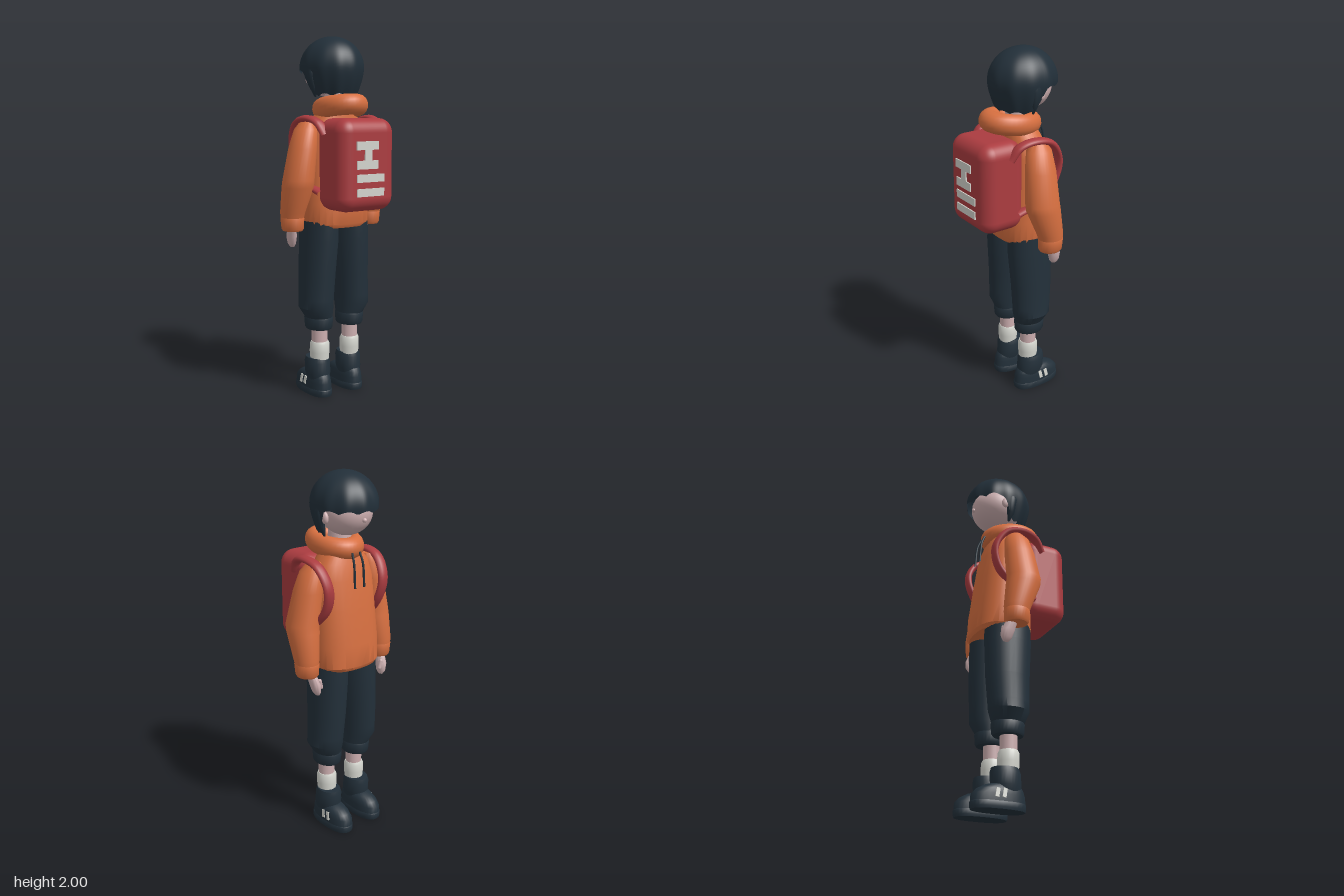
import * as THREE from 'three';
import { toCreasedNormals } from 'three/addons/utils/BufferGeometryUtils.js';
import { RoundedBoxGeometry } from 'three/addons/geometries/RoundedBoxGeometry.js';

function paint(name, color, side = THREE.FrontSide) {
  const m = new THREE.MeshStandardMaterial({ color, side });
  m.name = name;
  return m;
}

// Closed solid through horizontal superellipse rings [y, x, z, rx, rz], bottom to top
function loft(rings, side = 1, power = 2, crease = 0.6) {
  const N = 28, pos = [], idx = [];
  const bend = (v) => Math.sign(v) * Math.pow(Math.abs(v), 2 / power);
  for (const [y, x, z, rx, rz] of rings) {
    for (let i = 0; i < N; i++) {
      const a = (i / N) * Math.PI * 2;
      pos.push(side * x + rx * bend(Math.cos(a)), y, z + rz * bend(Math.sin(a)));
    }
  }
  for (let r = 0; r < rings.length - 1; r++) {
    for (let i = 0; i < N; i++) {
      const a = r * N + i, b = r * N + (i + 1) % N;
      idx.push(a, a + N, b, b, a + N, b + N);
    }
  }
  // End caps
  const last = rings.length - 1, base = pos.length / 3;
  for (const r of [0, last]) pos.push(side * rings[r][1], rings[r][0], rings[r][2]);
  for (let i = 0; i < N; i++) {
    const j = (i + 1) % N;
    idx.push(base, i, j, base + 1, last * N + j, last * N + i);
  }
  const g = new THREE.BufferGeometry();
  g.setAttribute('position', new THREE.Float32BufferAttribute(pos, 3));
  g.setIndex(idx);
  return toCreasedNormals(g, crease);
}

// Bob haircut: a dome whose lower edge is a scalloped fringe in front and longer at the nape
function hairGeometry() {
  const N = 96, M = 24, pos = [], idx = [];
  const smooth = THREE.MathUtils.smoothstep;
  for (let k = 0; k <= M; k++) {
    const t = k / M;
    for (let i = 0; i < N; i++) {
      const a = (i / N) * Math.PI * 2; // 0 = nape, PI = forehead
      const front = (1 - Math.cos(a)) / 2;
      const scallop = 0.016 * Math.abs(Math.sin(a * 5.5 + 0.4));
      const edge = 1.675 + 0.125 * smooth(front, 0.42, 0.62) + scallop;
      const y = 2 - (2 - edge) * (1 - Math.cos(t * Math.PI / 2));
      const low = Math.max(0, 1.83 - y) / 0.16;
      let r = y > 1.83 ? Math.sqrt(Math.max(0, 1 - ((y - 1.83) / 0.17) ** 2)) : 1 - 0.26 * low ** 1.6;
      r *= 1 + 0.022 * Math.sin(a * 11) * t * t;
      pos.push(0.17 * r * Math.sin(a), y, -0.085 + 0.187 * r * Math.cos(a));
    }
  }
  for (let k = 0; k < M; k++) {
    for (let i = 0; i < N; i++) {
      const a = k * N + i, b = k * N + (i + 1) % N;
      idx.push(a, a + N, b, b, a + N, b + N);
    }
  }
  const g = new THREE.BufferGeometry();
  g.setAttribute('position', new THREE.Float32BufferAttribute(pos, 3));
  g.setIndex(idx);
  g.computeVertexNormals();
  return g;
}

export function createModel() {
  const model = new THREE.Group();
  model.name = 'hikerFigure';
  const orange = paint('orange fabric', 0xd66f40);
  const red = paint('red canvas', 0xab3c40);
  const navy = paint('dark navy', 0x23303a);
  const hairMat = paint('dark hair', 0x222f39, THREE.DoubleSide);
  const skin = paint('skin', 0xcdafb0);
  const white = paint('off white', 0xd3d4cd);

  const add = (name, geometry, material, x = 0, y = 0, z = 0) => {
    const mesh = new THREE.Mesh(geometry, material);
    mesh.name = name;
    mesh.position.set(x, y, z);
    model.add(mesh);
    return mesh;
  };
  const ball = (name, material, x, y, z, rx, ry, rz) => {
    const mesh = add(name, new THREE.SphereGeometry(1, 28, 20), material, x, y, z);
    mesh.scale.set(rx, ry, rz);
    return mesh;
  };

  // Head
  ball('head', skin, 0, 1.795, -0.1, 0.135, 0.125, 0.142);
  ball('nose', skin, 0, 1.765, -0.24, 0.012, 0.012, 0.012);
  add('neck', new THREE.CylinderGeometry(0.06, 0.065, 0.16, 20), skin, 0, 1.64, -0.05);
  add('hair', hairGeometry(), hairMat);

  // Hooded top
  add('torso', loft([
    [0.965, 0, -0.075, 0.182, 0.148], [0.985, 0, -0.075, 0.195, 0.16], [1.1, 0, -0.073, 0.197, 0.156],
    [1.3, 0, -0.07, 0.186, 0.132], [1.45, 0, -0.064, 0.178, 0.116], [1.53, 0, -0.06, 0.155, 0.1],
    [1.6, 0, -0.05, 0.1, 0.085],
  ], 1, 2.5), orange);
  const collar = new THREE.TorusGeometry(0.12, 0.056, 18, 40);
  collar.rotateX(Math.PI / 2);
  collar.scale(0.8, 1, 1);
  add('hoodCollar', collar, orange, 0, 1.618, -0.008).rotation.x = -0.13;

  // Backpack with plain reflective bars
  add('backpack', new RoundedBoxGeometry(0.36, 0.49, 0.26, 6, 0.075), red, 0, 1.315, 0.14);
  const bars = [
    [-0.02, 1.42, 0.14, 0.045], [-0.015, 1.37, 0.045, 0.06], [-0.02, 1.32, 0.135, 0.045],
    [0, 1.25, 0.175, 0.042], [0, 1.175, 0.175, 0.042],
  ];
  for (const [x, y, w, h] of bars) {
    add('reflectiveBar', new THREE.BoxGeometry(w, h, 0.009), white, x, y, 0.272);
  }

  for (const s of [-1, 1]) {
    const ear = ball('ear', skin, s * 0.142, 1.775, -0.1, 0.016, 0.032, 0.023);
    ear.rotation.x = 0.2;
    // Hair lock behind the ear
    add('sideLock', loft([
      [1.672, 0.118, -0.07, 0.004, 0.006], [1.72, 0.135, -0.065, 0.018, 0.022],
      [1.8, 0.15, -0.065, 0.022, 0.03], [1.87, 0.142, -0.07, 0.015, 0.02],
    ], s), hairMat);

    // Sleeve, cuff and hand
    add('sleeve', loft([
      [1.02, 0.26, -0.09, 0.062, 0.068], [1.05, 0.26, -0.086, 0.066, 0.074],
      [1.19, 0.25, -0.048, 0.084, 0.095], [1.23, 0.248, -0.042, 0.083, 0.095],
      [1.4, 0.215, -0.05, 0.074, 0.085], [1.5, 0.192, -0.055, 0.06, 0.07],
      [1.545, 0.18, -0.06, 0.032, 0.04],
    ], s), orange);
    add('sleeveCuff', loft([
      [0.95, 0.258, -0.09, 0.052, 0.058], [0.962, 0.258, -0.09, 0.06, 0.066],
      [1.02, 0.26, -0.09, 0.064, 0.07], [1.035, 0.26, -0.09, 0.058, 0.064],
    ], s), orange);
    add('hand', loft([
      [0.85, 0.232, -0.14, 0.01, 0.016], [0.87, 0.235, -0.138, 0.02, 0.03],
      [0.91, 0.24, -0.132, 0.026, 0.037], [0.97, 0.25, -0.11, 0.022, 0.03],
    ], s, 2, 1.2), skin);
    const thumb = add('thumb', new THREE.CapsuleGeometry(0.011, 0.04, 4, 10), skin, s * 0.218, 0.91, -0.15);
    thumb.rotation.z = s * -0.25;

    // Shoulder strap: round tube stretched sideways into a flat band
    const wide = 1.75;
    const path = new THREE.CatmullRomCurve3([
      [0.17, 1.47, 0.11], [0.19, 1.535, 0.065], [0.205, 1.558, -0.02], [0.203, 1.53, -0.125],
      [0.19, 1.43, -0.185], [0.182, 1.32, -0.165], [0.188, 1.22, -0.08], [0.165, 1.16, 0.06],
    ].map(([x, y, z]) => new THREE.Vector3(s * x / wide, y, z)));
    const strap = new THREE.TubeGeometry(path, 48, 0.018, 12);
    strap.scale(wide, 1, 1);
    add('shoulderStrap', strap, red);

    // Drawstring
    const cord = new THREE.CatmullRomCurve3([
      new THREE.Vector3(s * 0.025, 1.59, -0.178), new THREE.Vector3(s * 0.03, 1.54, -0.198),
      new THREE.Vector3(s * 0.032, 1.41, -0.21),
    ]);
    add('drawstring', new THREE.TubeGeometry(cord, 12, 0.006, 8), navy);

    // Trouser leg and gathered cuff
    add('trouserLeg', loft([
      [0.45, 0.105, -0.068, 0.074, 0.086], [0.51, 0.122, -0.07, 0.093, 0.11],
      [0.56, 0.119, -0.071, 0.092, 0.113], [0.7, 0.112, -0.073, 0.096, 0.121],
      [0.9, 0.102, -0.068, 0.1, 0.131], [1, 0.1, -0.068, 0.097, 0.13],
    ], s), navy);
    add('trouserCuff', loft([
      [0.385, 0.105, -0.068, 0.068, 0.08], [0.395, 0.105, -0.068, 0.074, 0.086],
      [0.445, 0.105, -0.068, 0.078, 0.09], [0.46, 0.105, -0.068, 0.072, 0.084],
    ], s), navy);

    // Shin and sock
    add('shin', new THREE.CylinderGeometry(0.047, 0.045, 0.16, 24), skin, s * 0.103, 0.35, -0.062);
    add('sock', loft([
      [0.18, 0.103, -0.064, 0.05, 0.052], [0.25, 0.103, -0.063, 0.056, 0.057],
      [0.295, 0.103, -0.062, 0.055, 0.056], [0.31, 0.103, -0.062, 0.048, 0.049],
    ], s), white);

    // Shoe
    add('shoeSole', loft([
      [0, 0.106, -0.12, 0.064, 0.142], [0.012, 0.106, -0.12, 0.067, 0.146],
      [0.035, 0.106, -0.12, 0.067, 0.146], [0.04, 0.106, -0.12, 0.064, 0.143],
    ], s, 2.5), navy);
    add('shoeUpper', loft([
      [0.035, 0.106, -0.12, 0.065, 0.144], [0.075, 0.106, -0.12, 0.064, 0.141],
      [0.1, 0.106, -0.112, 0.06, 0.126], [0.122, 0.106, -0.098, 0.052, 0.1],
      [0.135, 0.106, -0.085, 0.035, 0.065],
    ], s, 2.4, 1), navy);
    add('shoeAnkle', loft([
      [0.09, 0.106, -0.075, 0.058, 0.078], [0.125, 0.106, -0.078, 0.068, 0.08],
      [0.19, 0.106, -0.082, 0.069, 0.08], [0.215, 0.106, -0.084, 0.06, 0.072],
    ], s), navy);
    for (const z of [-0.112, -0.15]) {
      const stripe = add('shoeStripe', new THREE.BoxGeometry(0.009, 0.046, 0.02), white, s * 0.168, 0.078, z);
      stripe.rotation.set(0.2, 0, s * 0.1);
    }
  }
  return model;
}
